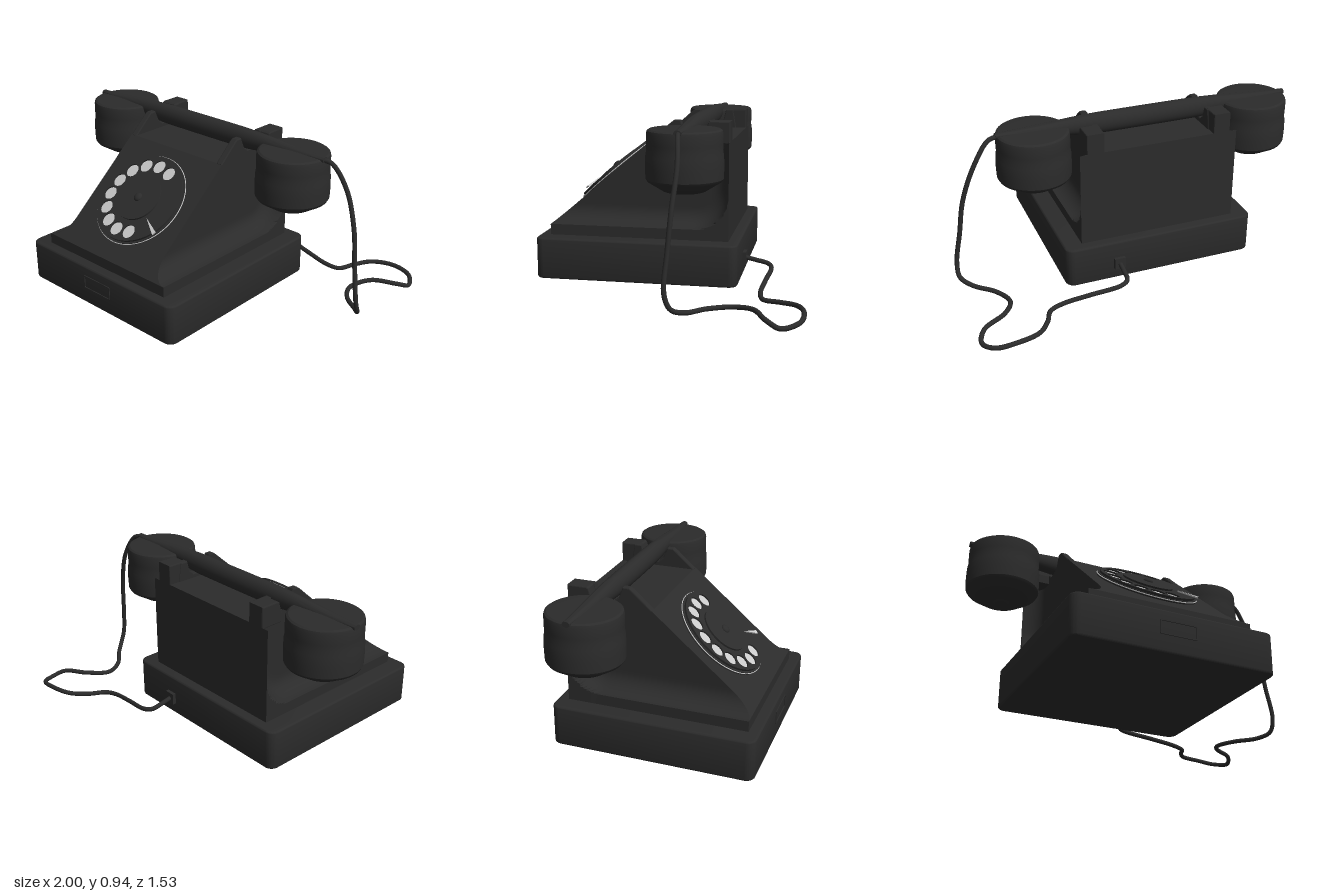
import * as THREE from 'three';
import { toCreasedNormals } from 'three/addons/utils/BufferGeometryUtils.js';

const black = new THREE.MeshStandardMaterial({ color: 0x2b2b2b });
const pale = new THREE.MeshStandardMaterial({ color: 0xc4c4c4 });

function add(parent, name, geometry, material = black, x = 0, y = 0, z = 0) {
  const mesh = new THREE.Mesh(geometry, material);
  mesh.name = name;
  mesh.position.set(x, y, z);
  parent.add(mesh);
  return mesh;
}

function roundedRect(w, h, r) {
  const s = new THREE.Shape();
  s.absarc(w / 2 - r, h / 2 - r, r, 0, Math.PI / 2);
  s.absarc(-w / 2 + r, h / 2 - r, r, Math.PI / 2, Math.PI);
  s.absarc(-w / 2 + r, -h / 2 + r, r, Math.PI, Math.PI * 1.5);
  s.absarc(w / 2 - r, -h / 2 + r, r, Math.PI * 1.5, Math.PI * 2);
  return s;
}

// Extrude a [z, y] side profile across x, centred
function sideExtrude(points, width) {
  const shape = new THREE.Shape(points.map(([z, y]) => new THREE.Vector2(z, y)));
  return new THREE.ExtrudeGeometry(shape, {
    depth: width - 0.012, bevelEnabled: true, bevelSize: 0.006, bevelThickness: 0.006, bevelOffset: -0.006, bevelSegments: 2,
  }).translate(0, 0, -(width - 0.012) / 2).rotateY(-Math.PI / 2);
}

// Wedge body: narrow cheeks flaring in a cove to the foot and the back panel
function bodyGeometry() {
  const N = 36, M = 30, back = -0.31, top = 0.8, R = 0.2, cove = 0.1;
  const frontZ = (y) => 0.7 - Math.max(0, y - 0.32) / 0.85;
  const halfWidth = (y, z) => {
    const a = Math.max(0, y - 0.32), b = Math.max(0, z - back);
    const d = a < R && b < R ? R - Math.hypot(R - a, R - b) : Math.min(a, b);
    const k = THREE.MathUtils.clamp(1 - d / cove, 0, 1);
    return 0.355 + 0.105 * (1 - Math.sqrt(1 - k * k));
  };
  const rows = [0.25];
  for (let i = 0; i <= M; i++) rows.push(0.32 + (top - 0.32) * Math.pow(i / M, 1.6));
  const pos = [], idx = [], ring = 2 * N + 2;
  for (const y of rows) {
    for (let j = 0; j < ring; j++) {
      const side = j <= N ? 1 : -1;
      const t = 1 - Math.pow(1 - (j <= N ? j : ring - 1 - j) / N, 1.6);
      const z = frontZ(y) + (back - frontZ(y)) * t;
      pos.push(side * halfWidth(y, z), y, z);
    }
  }
  for (let i = 0; i < rows.length - 1; i++) {
    for (let j = 0; j < ring; j++) {
      const a = i * ring + j, b = i * ring + (j + 1) % ring;
      idx.push(a, b, b + ring, a, b + ring, a + ring);
    }
  }
  const o = (rows.length - 1) * ring;
  for (let j = 0; j < N; j++) {
    const l = o + ring - 1 - j;
    idx.push(o + j, o + j + 1, l - 1, o + j, l - 1, l);
  }
  const g = new THREE.BufferGeometry();
  g.setAttribute('position', new THREE.Float32BufferAttribute(pos, 3));
  g.setIndex(idx);
  return toCreasedNormals(g, 0.6);
}

// Handset bar: thick oval in the middle, thin at both tips
function handleGeometry() {
  const g = new THREE.CylinderGeometry(1, 1, 1.72, 28, 32).rotateZ(Math.PI / 2);
  const p = g.attributes.position;
  for (let i = 0; i < p.count; i++) {
    const u = Math.abs(p.getX(i)) / 0.86;
    const s = THREE.MathUtils.smoothstep(u, 0.3, 1);
    const ry = 0.06 - 0.045 * s, rz = 0.05 - 0.03 * u * u;
    p.setXYZ(i, p.getX(i), 0.94 - 0.03 * s - ry + p.getY(i) * ry, p.getZ(i) * rz);
  }
  return toCreasedNormals(g, 0.8);
}

function makeDial() {
  const dial = new THREE.Group();
  dial.name = 'dial';
  const disc = (r, h) => new THREE.CylinderGeometry(r, r, h, 64).rotateX(Math.PI / 2);
  add(dial, 'dialPlate', disc(0.28, 0.016), black, 0, 0, 0.006);
  add(dial, 'dialRim', new THREE.TorusGeometry(0.281, 0.003, 6, 80), pale, 0, 0, 0.008);
  // Finger wheel with ten holes over pale number discs
  const wheel = new THREE.Shape();
  wheel.absarc(0, 0, 0.268, 0, Math.PI * 2);
  for (let i = 0; i < 10; i++) {
    const a = THREE.MathUtils.degToRad(65 + i * 24.9);
    const x = 0.21 * Math.cos(a), y = 0.21 * Math.sin(a);
    const hole = new THREE.Path();
    hole.absarc(x, y, 0.04, 0, Math.PI * 2, true);
    wheel.holes.push(hole);
    add(dial, 'numberDisc', disc(0.041, 0.004), pale, x, y, 0.016);
  }
  add(dial, 'fingerWheel', new THREE.ExtrudeGeometry(wheel, { depth: 0.012, bevelEnabled: false, curveSegments: 32 }), black, 0, 0, 0.014);
  add(dial, 'dialCentre', disc(0.14, 0.012), black, 0, 0, 0.03);
  add(dial, 'dialKnob', new THREE.SphereGeometry(0.026, 20, 12).scale(1, 1, 0.6), black, 0, 0, 0.036);
  // Finger stop
  const stop = new THREE.Shape([[0.14, -0.095], [0.235, -0.165], [0.245, -0.145]].map(([x, y]) => new THREE.Vector2(x, y)));
  add(dial, 'fingerStop', new THREE.ExtrudeGeometry(stop, { depth: 0.008, bevelEnabled: false }), pale, 0, 0, 0.03);
  return dial;
}

export function createModel() {
  const model = new THREE.Group();
  const phone = new THREE.Group();
  phone.name = 'telephone';
  phone.position.x = -0.14;
  model.add(phone);

  // Base box with label frame
  const base = new THREE.ExtrudeGeometry(roundedRect(1.11, 1.11, 0.04), {
    depth: 0.21, bevelEnabled: true, bevelSize: 0.01, bevelThickness: 0.01, bevelSegments: 3, curveSegments: 8,
  }).rotateX(-Math.PI / 2);
  add(phone, 'base', toCreasedNormals(base, 0.6), black, 0, 0.04, 0.195);
  const frame = roundedRect(0.21, 0.08, 0.006);
  frame.holes.push(new THREE.Path(roundedRect(0.196, 0.066, 0.004).getPoints().reverse()));
  add(phone, 'labelFrame', new THREE.ExtrudeGeometry(frame, { depth: 0.008, bevelEnabled: false }), black, 0, 0.165, 0.757);

  // Body and cradle
  add(phone, 'body', bodyGeometry());
  const cheek = [[0.137, 0.79], [0.137, 0.8], [0.03, 0.895], [0.01, 0.91], [-0.025, 0.91], [-0.05, 0.85], [-0.08, 0.825],
    [-0.14, 0.825], [-0.17, 0.85], [-0.185, 0.91], [-0.23, 0.91], [-0.25, 0.79]];
  const horn = [[-0.17, 0.79], [-0.17, 0.84], [-0.19, 0.905], [-0.2, 0.912], [-0.31, 0.912], [-0.31, 0.79]];
  for (const s of [-1, 1]) {
    add(phone, 'cradleCheek', sideExtrude(cheek, 0.04), black, s * 0.335);
    add(phone, 'rearHorn', sideExtrude(horn, 0.1), black, s * 0.37);
  }

  // Dial on the sloping face
  const dial = makeDial();
  dial.position.set(0, 0.573, 0.407);
  dial.rotation.x = -Math.atan2(1, 0.85);
  phone.add(dial);

  // Handset
  const handset = new THREE.Group();
  handset.name = 'handset';
  handset.position.z = -0.105;
  phone.add(handset);
  add(handset, 'handle', handleGeometry());
  const profile = [[0, 0.56], [0.035, 0.56], [0.045, 0.57], [0.1, 0.57], [0.115, 0.575], [0.195, 0.625], [0.204, 0.64], [0.206, 0.7],
    [0.204, 0.76], [0.199, 0.79], [0.2, 0.82], [0.2, 0.875], [0.196, 0.89], [0.185, 0.897], [0, 0.903]];
  const cup = toCreasedNormals(new THREE.LatheGeometry(profile.map(([r, y]) => new THREE.Vector2(r, y)), 56), 0.5);
  for (const s of [-1, 1]) add(handset, s > 0 ? 'mouthpiece' : 'earpiece', cup, black, s * 0.655);

  // Cord from the handset tip round to the plug at the back
  const path = [[0.7, 0.892, -0.105], [0.76, 0.88, -0.115], [0.85, 0.75, -0.13], [0.92, 0.55, -0.115], [0.95, 0.35, -0.1],
    [0.98, 0.15, -0.09], [0.975, 0.075, -0.12], [0.92, 0.045, -0.18], [0.81, 0.035, -0.27], [0.76, 0.035, -0.38], [0.82, 0.05, -0.5],
    [0.95, 0.04, -0.58], [0.982, 0.015, -0.65], [0.93, 0.03, -0.735], [0.82, 0.045, -0.752], [0.69, 0.04, -0.71],
    [0.62, 0.03, -0.62], [0.575, 0.025, -0.53], [0.5, 0.035, -0.507], [0.35, 0.06, -0.518], [0.17, 0.09, -0.535],
    [0.127, 0.1, -0.51], [0.12, 0.115, -0.44], [0.12, 0.13, -0.37]];
  const curve = new THREE.CatmullRomCurve3(path.map((p) => new THREE.Vector3(...p)));
  add(model, 'cord', new THREE.TubeGeometry(curve, 220, 0.013, 10));
  add(model, 'cordPlug', new THREE.BoxGeometry(0.065, 0.065, 0.03), black, 0.12, 0.13, -0.375);
  return model;
}
